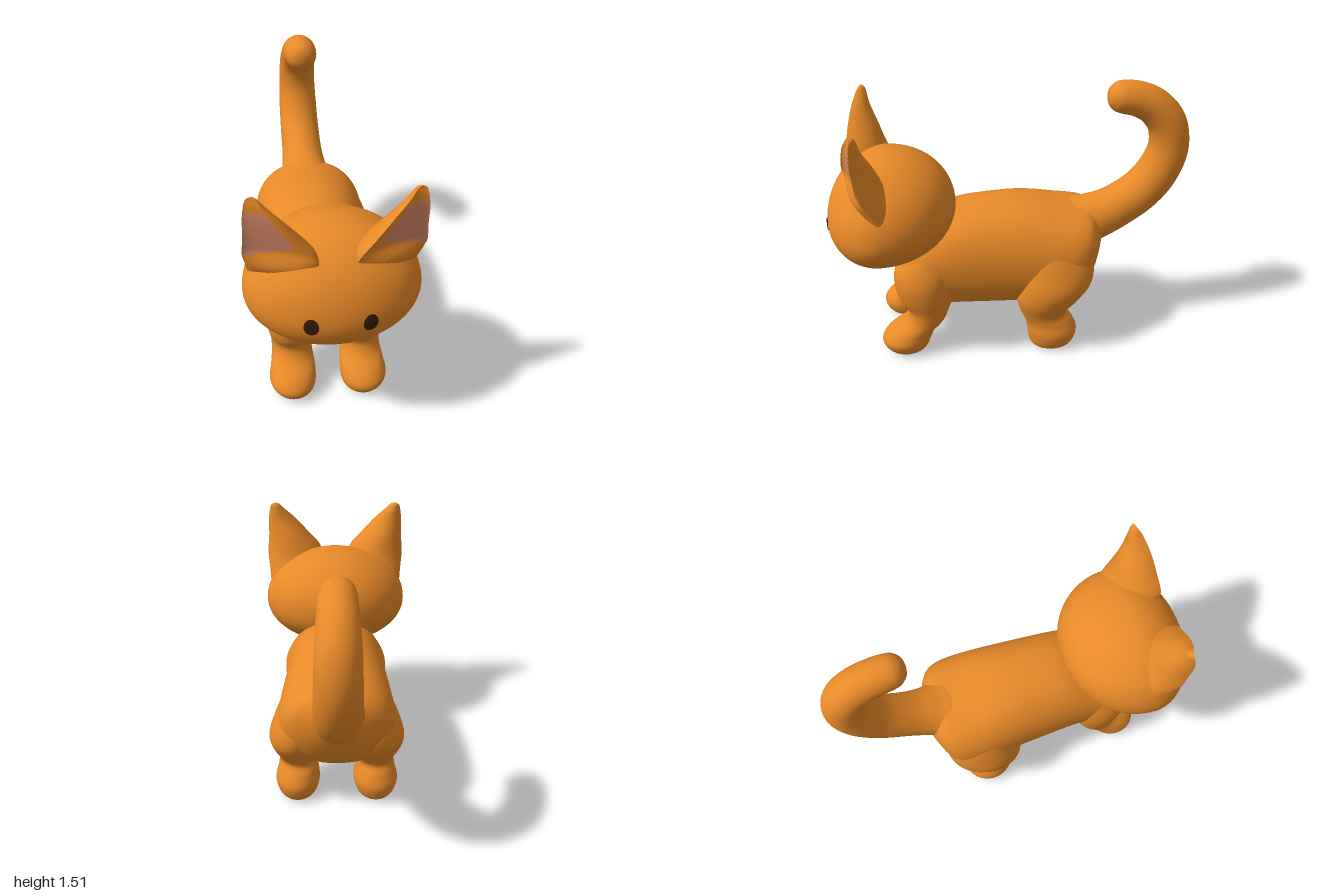
import * as THREE from 'three';
import { mergeVertices } from 'three/addons/utils/BufferGeometryUtils.js';

const TAU = Math.PI * 2;
const mat = (name, color) => Object.assign(new THREE.MeshStandardMaterial({ color }), { name });

// Smooth grid surface from f(u, v) -> [x, y, z], u around, v along
function surface(f, nu, nv) {
  const pos = [], idx = [];
  for (let j = 0; j <= nv; j++)
    for (let i = 0; i <= nu; i++) pos.push(...f(i / nu, j / nv));
  for (let j = 0; j < nv; j++)
    for (let i = 0; i < nu; i++) {
      const p = j * (nu + 1) + i, q = p + nu + 1;
      idx.push(p, q, p + 1, p + 1, q, q + 1);
    }
  let g = new THREE.BufferGeometry();
  g.setAttribute('position', new THREE.Float32BufferAttribute(pos, 3));
  g.setIndex(idx);
  g = mergeVertices(g, 1e-5);
  g.computeVertexNormals();
  return g;
}

// Interpolates rings of [x, y, z, a, b]
function ringCurve(rings) {
  const make = (pts) => new THREE.CatmullRomCurve3(pts, false, 'catmullrom', 0.5);
  const centre = make(rings.map((r) => new THREE.Vector3(r[0], r[1], r[2])));
  const radii = make(rings.map((r) => new THREE.Vector3(r[3], r[4], 0)));
  return (v) => {
    const c = centre.getPoint(v), r = radii.getPoint(v);
    return { c, a: Math.max(0, r.x), b: Math.max(0, r.y), tangent: centre.getTangent(v) };
  };
}

// Loft of horizontal rings stacked along y; power below 1 squares the ring
function loft(rings, power = 1, nu = 40, nv = 60) {
  const at = ringCurve(rings);
  const round = (k) => Math.sign(k) * Math.abs(k) ** power;
  return surface((u, v) => {
    const { c, a, b } = at(v), t = u === 1 ? 0 : u * TAU;
    return [c.x + a * round(Math.cos(t)), c.y, c.z + b * round(Math.sin(t))];
  }, nu, nv);
}

// Copy mirrored across x = 0, keeping faces outward
function mirrored(geo) {
  const g = geo.clone().scale(-1, 1, 1), ix = g.index.array;
  for (let i = 0; i < ix.length; i += 3) [ix[i + 1], ix[i + 2]] = [ix[i + 2], ix[i + 1]];
  g.computeVertexNormals();
  return g;
}

// Head: ellipsoid with different radii above/below and front/back, leaning back
const HEAD = { y: 0.82, z: 0.695, rx: 0.435, up: 0.34, down: 0.27, front: 0.3, back: 0.4 };
const lean = (dy) => -0.1 * dy;
function headGeometry() {
  const g = new THREE.SphereGeometry(1, 64, 48), p = g.attributes.position;
  for (let i = 0; i < p.count; i++) {
    const y = p.getY(i) * (p.getY(i) > 0 ? HEAD.up : HEAD.down);
    const z = p.getZ(i) * (p.getZ(i) > 0 ? HEAD.front : HEAD.back);
    p.setXYZ(i, p.getX(i) * HEAD.rx, HEAD.y + y, HEAD.z + lean(y) + z);
  }
  g.deleteAttribute('uv');
  g.deleteAttribute('normal');
  const welded = mergeVertices(g, 1e-5);
  welded.computeVertexNormals();
  return welded;
}
function headFrontZ(x, y) {
  const dy = y - HEAD.y, ry = dy > 0 ? HEAD.up : HEAD.down;
  return HEAD.z + lean(dy) + HEAD.front * Math.sqrt(1 - (x / HEAD.rx) ** 2 - (dy / ry) ** 2);
}

// Eye: oval plate lying on the face
const eyeGeometry = () => surface((u, v) => {
  const t = u === 1 ? 0 : -u * TAU, x = 0.137 + 0.035 * v * Math.cos(t), y = 0.81 + 0.047 * v * Math.sin(t);
  return [x, y, headFrontZ(x, y) + 0.005];
}, 28, 4);

// Ear: rings with a deep back and a front that turns from bulging to slightly dished
const EAR_RINGS = [
  [0.25, 0.9, 0.71, 0.16, 0.14], [0.25, 1.0, 0.765, 0.17, 0.145],
  [0.26, 1.1, 0.825, 0.172, 0.16], [0.295, 1.2, 0.83, 0.127, 0.13],
  [0.335, 1.3, 0.822, 0.082, 0.08], [0.362, 1.365, 0.808, 0.045, 0.052],
  [0.37, 1.398, 0.795, 0.025, 0.028], [0.371, 1.41, 0.79, 0, 0],
];
const earAt = ringCurve(EAR_RINGS);
function earPoint(t, v, lift = 0) {
  const { c, a, b } = earAt(v), s = Math.sin(t), yaw = 0.3;
  const bulge = THREE.MathUtils.lerp(0.4, -0.12, THREE.MathUtils.smoothstep(v * 7, 1, 2.4));
  const lx = a * Math.cos(t);
  const lz = s > 0 ? b * bulge * s + lift : b * s + lift;
  return [c.x + lx * Math.cos(yaw) + lz * Math.sin(yaw), c.y, c.z - lx * Math.sin(yaw) + lz * Math.cos(yaw)];
}
const earGeometry = () => surface((u, v) => earPoint(u === 1 ? 0 : u * TAU, v), 48, 48);
const innerEarGeometry = () => surface((u, v) => {
  const bottom = 1.82 + 0.75 * u, top = 4.7 - 0.25 * (2 * u - 1) ** 2;
  return earPoint((0.06 + 0.64 * u) * Math.PI, (bottom + (top - bottom) * v) / 7, 0.005);
}, 24, 24);

// Tail: curved tube in the middle plane, flared at the rump, with a rounded tip
function tailGeometry() {
  const at = ringCurve([
    [-0.25, 0.62, 0.14, 0.22], [-0.36, 0.665, 0.145, 0.2], [-0.47, 0.695, 0.138, 0.15], [-0.6, 0.75, 0.126],
    [-0.75, 0.855, 0.12], [-0.845, 0.98, 0.117], [-0.89, 1.12, 0.111], [-0.868, 1.26, 0.106],
    [-0.79, 1.358, 0.1], [-0.7, 1.405, 0.095], [-0.62, 1.42, 0.09], [-0.575, 1.422, 0.079],
    [-0.545, 1.422, 0.053], [-0.534, 1.422, 0.028], [-0.53, 1.422, 0],
  ].map(([z, y, r, wide = r]) => [0, y, z, wide, r]));
  return surface((u, v) => {
    const { c, a, b, tangent: d } = at(v), t = u === 1 ? 0 : u * TAU, s = b * Math.sin(t);
    return [a * Math.cos(t), c.y - d.z * s, c.z + d.y * s];
  }, 32, 90);
}

// Body: sections [z, top, bottom, half width], lofted upright then laid along z
function bodyGeometry() {
  const sections = [
    [-0.54, 0.63, 0.63, 0], [-0.53, 0.69, 0.57, 0.08], [-0.5, 0.75, 0.475, 0.17], [-0.45, 0.795, 0.37, 0.26],
    [-0.38, 0.81, 0.3, 0.305], [-0.28, 0.825, 0.245, 0.32], [-0.15, 0.85, 0.225, 0.312],
    [0, 0.86, 0.22, 0.299], [0.25, 0.84, 0.225, 0.284], [0.4, 0.79, 0.235, 0.28],
    [0.52, 0.73, 0.265, 0.275], [0.59, 0.68, 0.33, 0.245], [0.63, 0.62, 0.4, 0.17],
    [0.645, 0.58, 0.45, 0.09], [0.65, 0.515, 0.515, 0],
  ];
  const rings = sections.map(([z, top, bottom, w]) => [0, z, -(top + bottom) / 2, w, (top - bottom) / 2]);
  return loft(rings, 0.9, 56, 80).rotateX(Math.PI / 2);
}

const frontLegGeometry = () => loft([
  [0.19, 0.002, 0.605, 0, 0], [0.19, 0.002, 0.605, 0.07, 0.075], [0.19, 0.022, 0.61, 0.107, 0.117],
  [0.195, 0.08, 0.61, 0.126, 0.14], [0.19, 0.14, 0.575, 0.12, 0.135], [0.188, 0.2, 0.505, 0.11, 0.118],
  [0.187, 0.27, 0.475, 0.114, 0.117], [0.18, 0.36, 0.485, 0.136, 0.155], [0.172, 0.46, 0.49, 0.146, 0.168],
  [0.16, 0.55, 0.48, 0.13, 0.16], [0.13, 0.64, 0.46, 0.1, 0.11], [0.1, 0.7, 0.44, 0, 0],
]);

const hindLegGeometry = () => loft([
  [0.225, 0.002, -0.23, 0, 0], [0.225, 0.002, -0.23, 0.07, 0.09], [0.225, 0.022, -0.23, 0.107, 0.126],
  [0.225, 0.1, -0.233, 0.127, 0.143], [0.22, 0.17, -0.213, 0.115, 0.135], [0.217, 0.23, -0.182, 0.115, 0.132],
  [0.22, 0.32, -0.205, 0.144, 0.178], [0.22, 0.42, -0.245, 0.157, 0.205], [0.198, 0.53, -0.26, 0.148, 0.205],
  [0.165, 0.63, -0.25, 0.138, 0.18], [0.13, 0.72, -0.24, 0.11, 0.12], [0.11, 0.77, -0.24, 0, 0],
]);

export function createModel() {
  const model = new THREE.Group();
  model.name = 'cat';
  const fur = mat('orange fur', 0xe88a28);
  const pink = mat('inner ear pink', 0xd68a68);
  const dark = mat('dark brown eye', 0x341c0a);
  pink.side = dark.side = THREE.DoubleSide;

  const add = (name, geo, material) => {
    const m = new THREE.Mesh(geo, material);
    m.name = name;
    model.add(m);
  };
  const addPair = (name, geo, material) => {
    add(`left${name}`, geo, material);
    add(`right${name}`, mirrored(geo), material);
  };

  add('body', bodyGeometry(), fur);
  add('tail', tailGeometry(), fur);
  add('head', headGeometry(), fur);
  addPair('FrontLeg', frontLegGeometry(), fur);
  addPair('HindLeg', hindLegGeometry(), fur);
  addPair('Ear', earGeometry(), fur);
  addPair('InnerEar', innerEarGeometry(), pink);
  addPair('Eye', eyeGeometry(), dark);
  return model;
}
